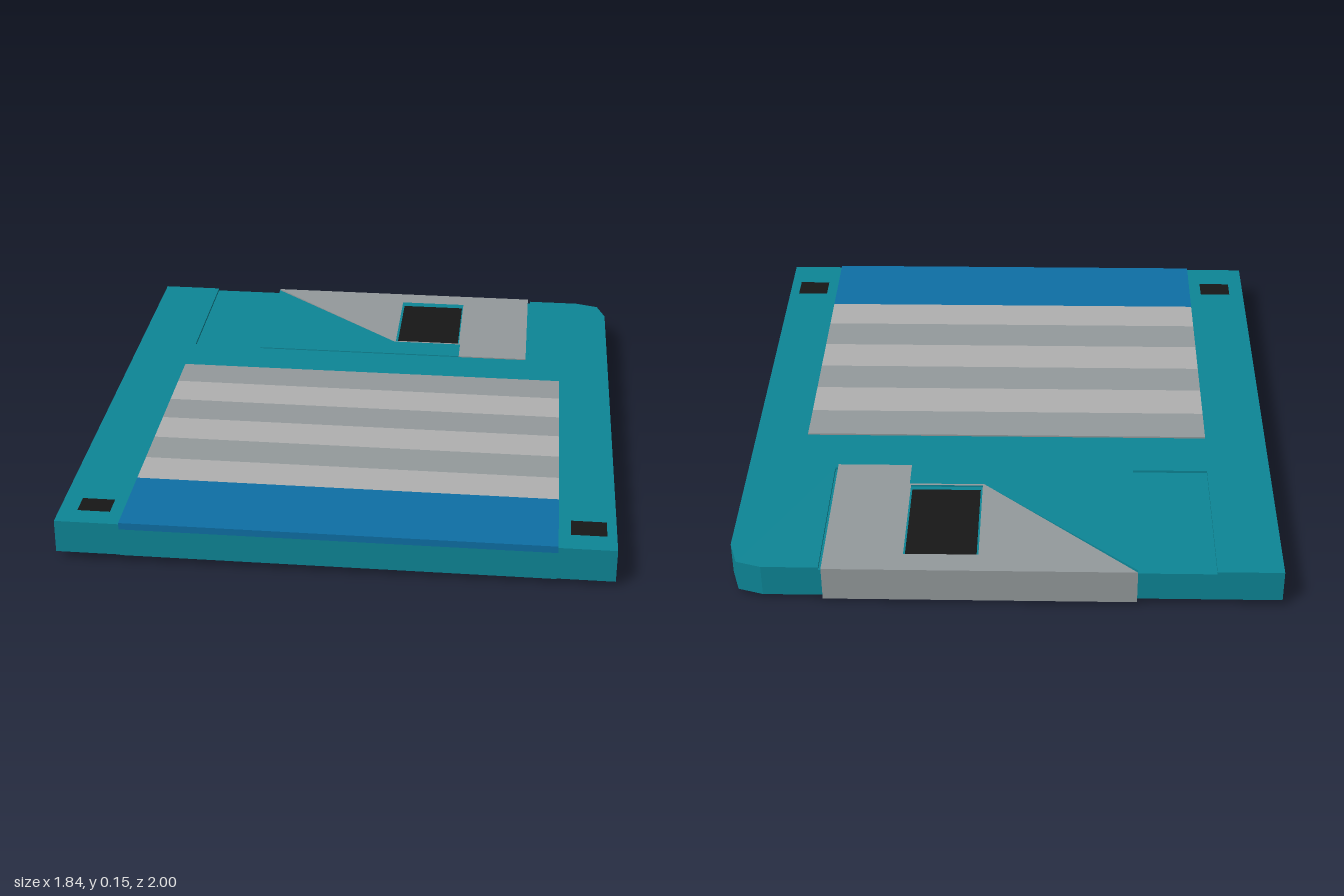
import * as THREE from 'three';

const mat = (color) => new THREE.MeshStandardMaterial({ color });
const teal = mat(0x0d8696), steel = mat(0x949a9c), pale = mat(0xb0b0b0);
const blue = mat(0x0e6fa5), black = mat(0x171717);

const rect = (x0, x1, z0, z1) => [[x0, z0], [x1, z0], [x1, z1], [x0, z1]];
const toPoints = (pts) => pts.map(([x, z]) => new THREE.Vector2(x, -z));

// Flat plate: an outline of [x, z] corners raised from y0 to y1, with optional holes
function plate(name, material, outline, y0, y1, holes = []) {
  const shape = new THREE.Shape(toPoints(outline));
  holes.forEach((h) => shape.holes.push(new THREE.Path(toPoints(h))));
  const geo = new THREE.ExtrudeGeometry(shape, { depth: y1 - y0, bevelEnabled: false });
  geo.rotateX(-Math.PI / 2).translate(0, y0, 0);
  const mesh = new THREE.Mesh(geo, material);
  mesh.name = name;
  return mesh;
}

function createBody() {
  const g = new THREE.Group();
  g.name = 'body';
  const back = -0.988;
  const rest = [[0.8, back], [0.885, -0.962], [0.915, -0.87], [0.92, 0.998], [-0.92, 0.998], [-0.92, back]];
  const notch = [[-0.7, back], [-0.7, -0.425], [0.61, -0.425], [0.61, back]];
  const corners = [rect(-0.87, -0.75, 0.8, 0.92), rect(0.77, 0.89, 0.78, 0.91)];
  g.add(
    plate('lowerShell', teal, rest, 0.025, 0.11),
    plate('middleShell', teal, rest, 0.11, 0.131, corners),
    plate('upperShell', teal, [...rest, ...notch], 0.131, 0.14, corners),
  );
  // Dark floors of the two corner holes
  corners.forEach((c) => g.add(plate('cornerHoleFloor', black, c, 0.11, 0.118)));
  return g;
}

function createLabel() {
  const g = new THREE.Group();
  g.name = 'label';
  const edges = [-0.225, -0.075, 0.08, 0.23, 0.385, 0.54, 0.69];
  for (let i = 0; i < 6; i++) {
    g.add(plate('labelStripe', i % 2 ? pale : steel, rect(-0.705, 0.73, edges[i], edges[i + 1]), 0.13, 0.146));
  }
  g.add(plate('labelBand', blue, rect(-0.705, 0.73, 0.69, 1), 0.122, 0.146));
  // Folded end under the body
  g.add(plate('labelFold', teal, rect(-0.705, 0.73, 0.77, 0.998), 0.023, 0.026));
  return g;
}

function createShutter() {
  const g = new THREE.Group();
  g.name = 'shutter';
  const [x0, x1, z0, z1] = [-0.44, 0.6, -1, -0.412];
  const top = [[x0, z0], [x1, z0], [x1, z1], [0.34, z1], [0.34, -0.522], [0.08, -0.522]];
  const infill = [[x0, z0 + 0.012], [0.08, -0.522], [0.34, -0.522], [0.34, z1], [x0, z1]];
  g.add(
    plate('shutterTop', steel, top, 0.131, 0.144, [rect(0.085, 0.335, -0.915, -0.53)]),
    plate('shutterInfill', teal, infill, 0.131, 0.144),
    plate('shutterWindow', black, rect(0.092, 0.33, -0.902, -0.543), 0.13, 0.134),
    plate('shutterBack', steel, rect(x0, x1, z0, -0.986), 0.019, 0.132),
    plate('shutterBottom', steel, rect(x0, x1, z0, z1), 0.019, 0.026),
  );
  return g;
}

function createHub() {
  const g = new THREE.Group();
  g.name = 'hub';
  const circle = [];
  for (let i = 0; i < 32; i++) {
    const a = (i / 32) * Math.PI * 2;
    circle.push([0.18 * Math.cos(a), 0.18 * Math.sin(a)]);
  }
  const slot = rect(0.075, 0.16, -0.022, 0.022);
  g.add(
    plate('hubDisc', steel, circle, 0.002, 0.026, [slot]),
    plate('hubSlotFloor', black, slot, 0.022, 0.026),
  );
  g.rotation.y = Math.PI - 0.68;
  g.position.z = 0.09;
  return g;
}

export function createModel() {
  const model = new THREE.Group();
  model.name = 'floppyDisk';
  model.add(createBody(), createLabel(), createShutter(), createHub());
  // Slight sideways lean
  model.rotation.z = -0.0055;
  return model;
}
